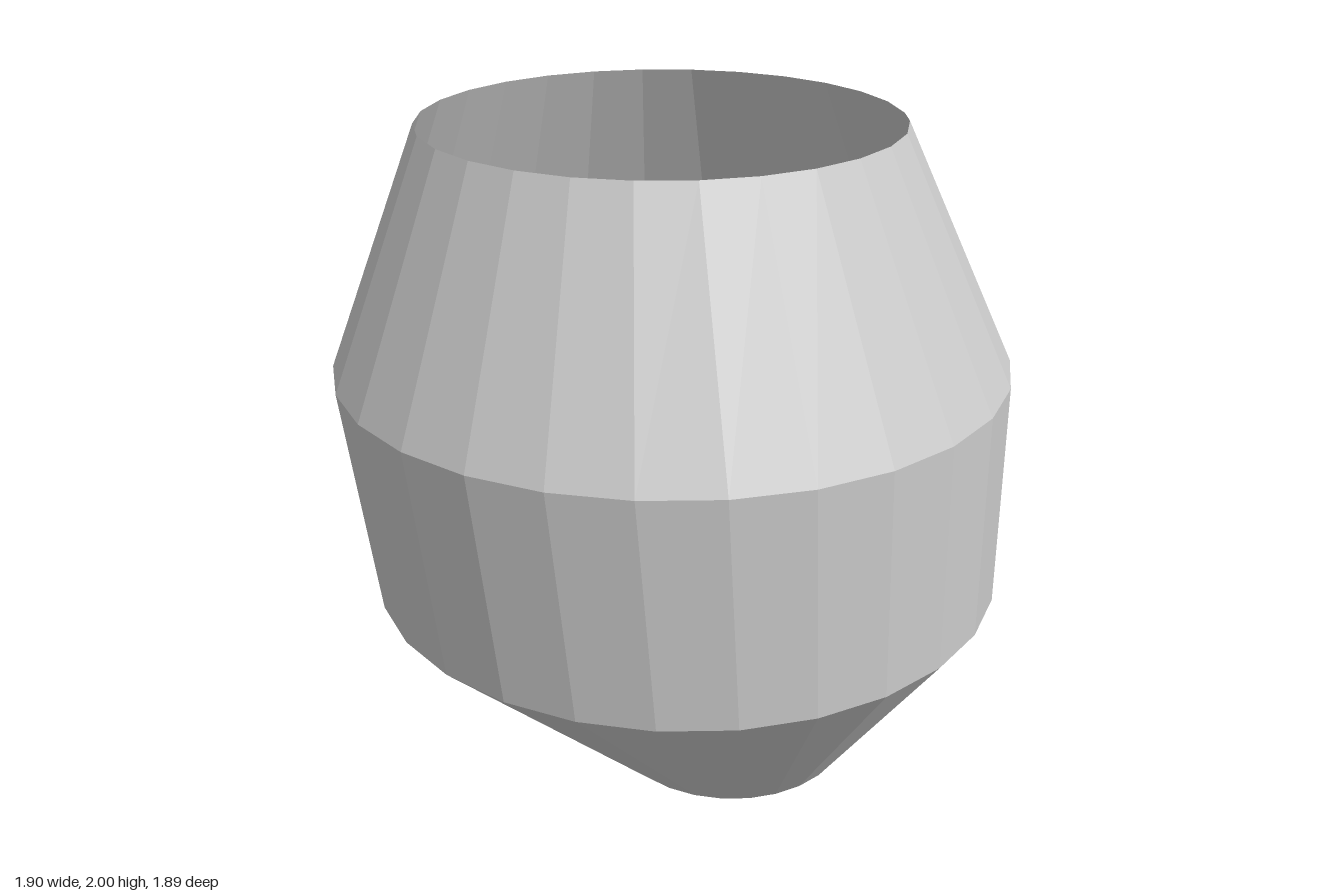
import * as THREE from 'three';

// Ring sections from bottom to top: height, centre x, radius
const RINGS = [
  { y: 0, x: 0.185, r: 0.37 },
  { y: 0.667, x: 0.035, r: 0.915 },
  { y: 1.333, x: -0.01, r: 0.946 },
  { y: 2, x: -0.04, r: 0.652 },
];

// One narrow facet at the seam, then even facets around the ring
const SIDES = 28;
const SEAM = 16.4, FIRST = 24.7;
const STEP = (SEAM + 360 - FIRST) / (SIDES - 1);
const angleAt = (j) => THREE.MathUtils.degToRad(j === 0 ? SEAM : FIRST + (j - 1) * STEP);

// Loft faceted bands through the rings, leaving both ends open
function loftRings(rings) {
  const positions = [], indices = [];
  for (const { x, y, r } of rings) {
    for (let j = 0; j < SIDES; j++) {
      const a = angleAt(j);
      positions.push(x + r * Math.cos(a), y, r * Math.sin(a));
    }
  }
  for (let i = 0; i < rings.length - 1; i++) {
    for (let j = 0; j < SIDES; j++) {
      const a = i * SIDES + j;
      const b = i * SIDES + ((j + 1) % SIDES);
      indices.push(a, a + SIDES, b, b, a + SIDES, b + SIDES);
    }
  }
  const geometry = new THREE.BufferGeometry();
  geometry.setAttribute('position', new THREE.Float32BufferAttribute(positions, 3));
  geometry.setIndex(indices);
  const faceted = geometry.toNonIndexed();
  faceted.computeVertexNormals();
  return faceted;
}

export function createModel() {
  const group = new THREE.Group();
  group.name = 'openVessel';

  // Thin leaning shell, open at the top and bottom
  const material = new THREE.MeshStandardMaterial({
    color: 0xcccccc,
    flatShading: true,
    side: THREE.DoubleSide,
  });
  const shell = new THREE.Mesh(loftRings(RINGS), material);
  shell.name = 'vesselShell';
  group.add(shell);

  return group;
}
